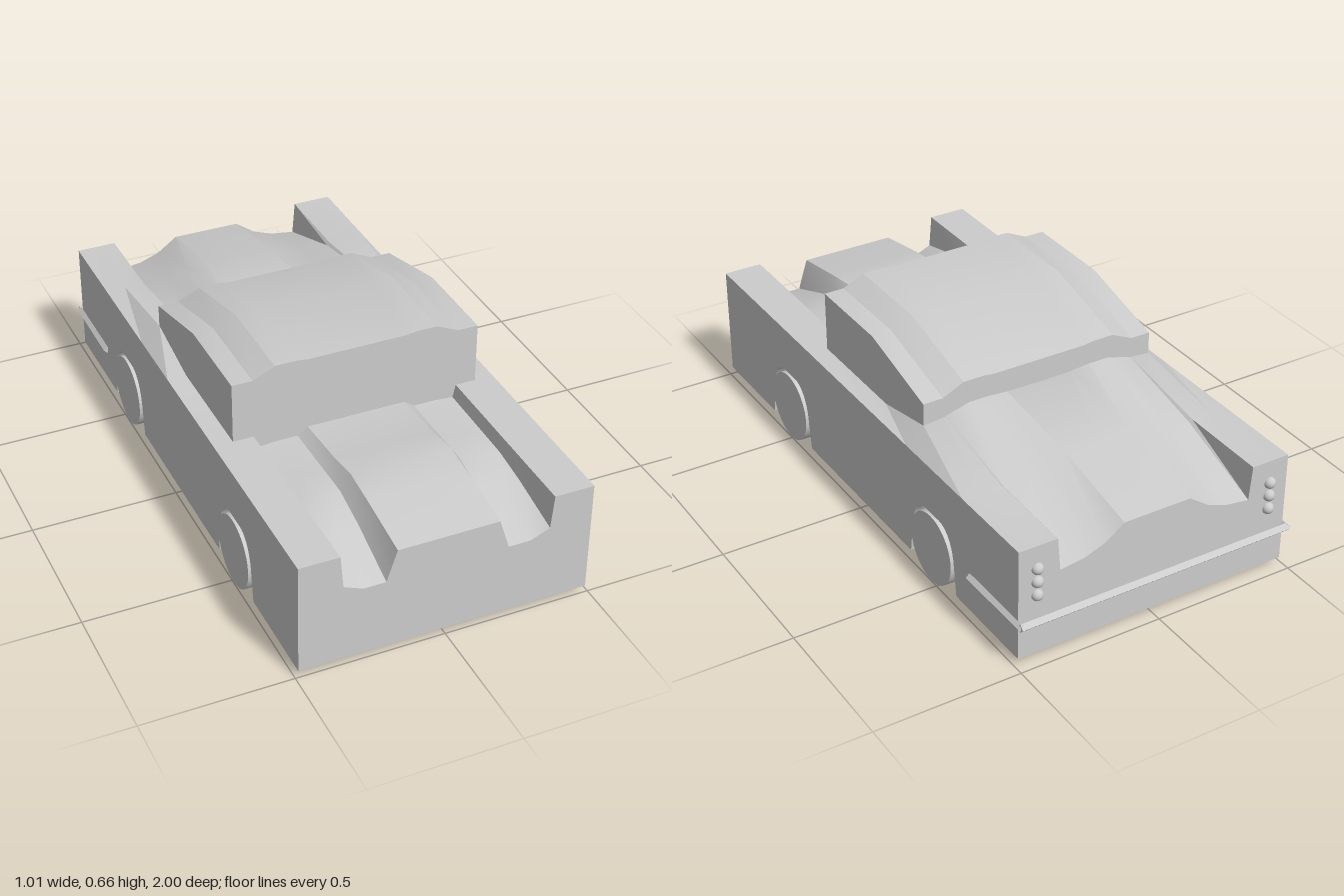
import * as THREE from 'three';
import { toCreasedNormals } from 'three/addons/utils/BufferGeometryUtils.js';

const grey = new THREE.MeshStandardMaterial({ color: 0xcccccc });

function add(parent, name, geometry, x = 0, y = 0, z = 0) {
  const mesh = new THREE.Mesh(geometry, grey);
  mesh.name = name;
  mesh.position.set(x, y, z);
  parent.add(mesh);
  return mesh;
}

// Closed solid through mirrored cross-sections, ordered front to back.
// Each section: z, the half-widths from the centre out, and the heights there.
function loft(sections, floor, crease) {
  const rings = sections.map(({ z, xs, ys }) => {
    const half = xs.map((x, i) => [x, ys[i]]);
    const row = [...half.slice(1).reverse().map(([x, y]) => [-x, y]), ...half];
    return {
      top: row.map(([x, y]) => [x, y, z]),
      bottom: row.map(([x]) => [x, floor, z]),
    };
  });
  const pos = [];
  const quad = (a, b, c, d) => pos.push(...a, ...b, ...c, ...a, ...c, ...d);
  const n = rings[0].top.length;
  for (let s = 0; s < rings.length - 1; s++) {
    const f = rings[s], b = rings[s + 1];
    for (let i = 0; i < n - 1; i++) {
      quad(f.top[i], f.top[i + 1], b.top[i + 1], b.top[i]);
      quad(f.bottom[i + 1], f.bottom[i], b.bottom[i], b.bottom[i + 1]);
    }
    quad(f.bottom[0], f.top[0], b.top[0], b.bottom[0]);
    quad(f.top[n - 1], f.bottom[n - 1], b.bottom[n - 1], b.top[n - 1]);
  }
  const front = rings[0], back = rings[rings.length - 1];
  for (let i = 0; i < n - 1; i++) {
    quad(front.bottom[i], front.bottom[i + 1], front.top[i + 1], front.top[i]);
    quad(back.bottom[i + 1], back.bottom[i], back.top[i], back.top[i + 1]);
  }
  const g = new THREE.BufferGeometry();
  g.setAttribute('position', new THREE.Float32BufferAttribute(pos, 3));
  g.computeVertexNormals();
  return toCreasedNormals(g, crease);
}

// Thin bar of diamond section between two points
function bar(a, b, radius) {
  const from = new THREE.Vector3(...a), to = new THREE.Vector3(...b);
  const dir = to.clone().sub(from);
  const g = new THREE.CylinderGeometry(radius, radius, dir.length(), 4).toNonIndexed();
  g.computeVertexNormals();
  g.lookAt(new THREE.Vector3(0, 1, 0));
  const q = new THREE.Quaternion().setFromUnitVectors(new THREE.Vector3(0, 0, 1), dir.normalize());
  const straight = new THREE.CylinderGeometry(radius, radius, from.distanceTo(to), 4);
  straight.rotateX(Math.PI / 2);
  straight.applyQuaternion(q);
  const mid = from.add(to).multiplyScalar(0.5);
  straight.translate(mid.x, mid.y, mid.z);
  return toCreasedNormals(straight, 0.5);
}

export function createModel() {
  const car = new THREE.Group();
  car.name = 'car';
  const wheelZ = [0.51, -0.465];
  const waist = 0.26, sill = 0.025, inner = 0.33, outer = 0.49, tail = -0.965;

  // Lower body: solid middle, and sides cut by the wheel arches
  const middle = new THREE.BoxGeometry(inner * 2, waist - sill, 1 - tail);
  add(car, 'underbody', middle, 0, (waist + sill) / 2, (1 + tail) / 2);

  const side = new THREE.Shape();
  side.moveTo(1, sill);
  side.lineTo(1, waist);
  side.lineTo(tail, waist);
  side.lineTo(tail, sill);
  for (const z of [...wheelZ].reverse()) {
    side.lineTo(z - 0.142, sill);
    side.lineTo(z - 0.125, 0.155);
    side.bezierCurveTo(z - 0.11, 0.225, z - 0.07, 0.249, z - 0.04, 0.249);
    side.lineTo(z + 0.04, 0.249);
    side.bezierCurveTo(z + 0.07, 0.249, z + 0.11, 0.225, z + 0.125, 0.155);
    side.lineTo(z + 0.142, sill);
  }
  side.closePath();
  const panel = new THREE.ExtrudeGeometry(side, { depth: outer - inner, bevelEnabled: false, curveSegments: 8 });
  panel.rotateY(-Math.PI / 2);
  add(car, 'leftSide', panel, outer);
  add(car, 'rightSide', panel, -inner);

  // Upper body: hood with two troughs, rear deck between the fenders
  const hoodX = [0, 0.17, 0.205, 0.28, 0.345, 0.355, 0.425, 0.49];
  const deckX = [0, 0.12, 0.19, 0.26, 0.345, 0.355, 0.425, 0.49];
  const upper = [
    { z: 1, xs: hoodX, ys: [0.38, 0.38, 0.272, 0.272, 0.3, 0.415, 0.415, 0.415] },
    { z: 0.8, xs: hoodX, ys: [0.414, 0.414, 0.345, 0.345, 0.345, 0.415, 0.415, 0.415] },
    { z: 0.67, xs: hoodX, ys: [0.433, 0.433, 0.38, 0.38, 0.365, 0.415, 0.415, 0.415] },
    { z: 0.55, xs: hoodX, ys: [0.415, 0.415, 0.378, 0.378, 0.367, 0.415, 0.415, 0.415] },
    { z: 0.345, xs: hoodX, ys: [0.4, 0.4, 0.375, 0.375, 0.37, 0.415, 0.415, 0.415] },
    { z: -0.06, xs: deckX, ys: [0.415, 0.415, 0.415, 0.415, 0.415, 0.415, 0.415, 0.415] },
    { z: -0.305, xs: deckX, ys: [0.49, 0.492, 0.498, 0.498, 0.475, 0.472, 0.465, 0.415] },
    { z: -0.65, xs: deckX, ys: [0.45, 0.45, 0.435, 0.415, 0.408, 0.418, 0.422, 0.415] },
    { z: tail, xs: deckX, ys: [0.385, 0.385, 0.335, 0.31, 0.298, 0.415, 0.415, 0.415] },
  ];
  add(car, 'upperBody', loft(upper, waist, 0.45));

  // Cabin with a ridged roof that slopes down at the back
  const roofX = [0, 0.17, 0.205, 0.28, 0.355, 0.425];
  const roofY = [0.655, 0.655, 0.66, 0.66, 0.625, 0.625];
  const cabin = [[0.345, 0], [0.02, 0], [-0.305, 0.082]].map(([z, drop]) => (
    { z, xs: roofX, ys: roofY.map((y) => y - drop) }));
  add(car, 'cabin', loft(cabin, 0.33, 0.3));

  // Wheels
  const wheel = new THREE.CylinderGeometry(0.123, 0.123, 0.17, 40);
  wheel.rotateZ(Math.PI / 2);
  for (const z of wheelZ) {
    for (const s of [1, -1]) add(car, 'wheel', wheel, s * 0.413, 0.123, z);
  }

  // Rear bumper wrapping round to both sides
  const bumper = new THREE.Group();
  bumper.name = 'rearBumper';
  car.add(bumper);
  const y = 0.155;
  add(bumper, 'bumperBar', bar([-0.495, y, -0.985], [0.495, y, -0.985], 0.015));
  for (const s of [1, -1]) {
    add(bumper, 'bumperEnd', bar([s * 0.49, y, -0.99], [s * 0.492, y, -0.69], 0.013));
  }

  // Stacked round tail lights
  const light = new THREE.SphereGeometry(0.02, 20, 14);
  for (const s of [1, -1]) {
    for (const h of [0.24, 0.288, 0.335]) add(car, 'tailLight', light, s * 0.425, h, tail);
  }
  return car;
}
